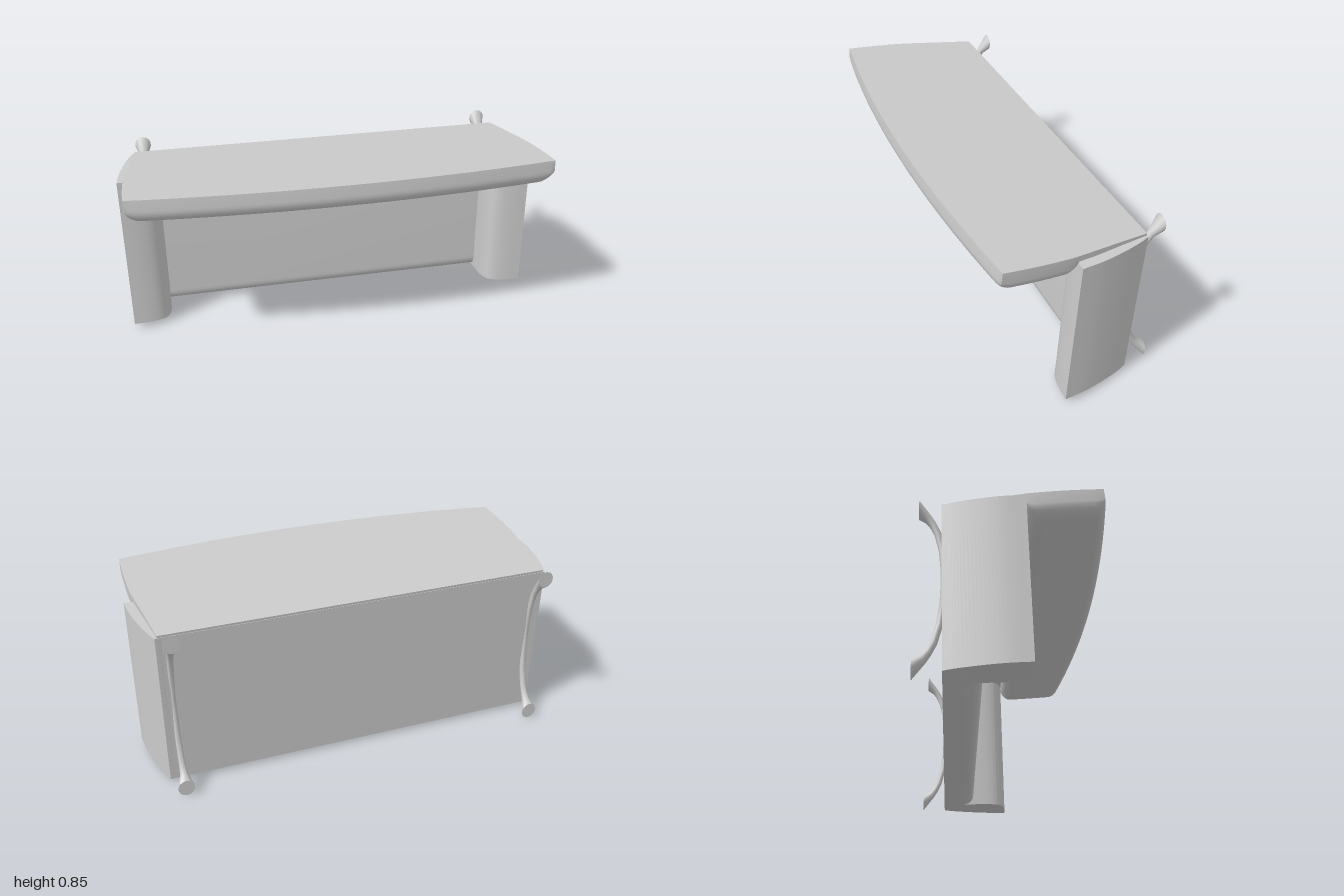
import * as THREE from 'three';
import { toCreasedNormals } from 'three/addons/utils/BufferGeometryUtils.js';

const material = new THREE.MeshStandardMaterial({ color: 0xcccccc });

function part(name, geometry, crease = 0.6) {
  const mesh = new THREE.Mesh(toCreasedNormals(geometry, crease), material);
  mesh.name = name;
  return mesh;
}

// Triangles (a quad grid plus caps) collected as loose corners
function collector() {
  const pos = [];
  const tri = (a, b, c) => pos.push(...a, ...b, ...c);
  return {
    tri,
    quad(a, b, c, d) { tri(a, b, c); tri(a, c, d); },
    geometry() {
      const g = new THREE.BufferGeometry();
      g.setAttribute('position', new THREE.Float32BufferAttribute(pos, 3));
      return g;
    },
  };
}

// Sloping top: thin plate at the back, deep rounded nose in front
function topGeometry() {
  const thin = 0.028, zBack = -0.325, zNose = 0.02;
  const us = [];
  for (let i = -12; i <= 12; i++) us.push((i / 12) * 0.93);
  for (let i = 1; i <= 6; i++) {
    const u = 0.93 + 0.07 * Math.sin((i / 6) * Math.PI / 2);
    us.push(u);
    us.unshift(-u);
  }
  const sideCurve = new THREE.SplineCurve([[-0.325, 0.915], [-0.2, 0.94], [0, 0.965], [0.2, 0.97], [0.42, 0.964]]
    .map(p => new THREE.Vector2(...p)));
  const halfWidth = z => sideCurve.getPoint(THREE.MathUtils.clamp((z - zBack) / 0.745, 0, 1)).y;

  // Underside stations from back to front: [z, depth] for one section
  const section = u => {
    const e = Math.max(0, (Math.abs(u) - 0.93) / 0.07);
    const depth = 0.055 + 0.056 * Math.sqrt(Math.max(0, 1 - e * e));
    const zFront = 0.41 - 0.068 * u * u;
    const r = 0.055;
    const pts = [[zBack, thin], [-0.15, thin], [zNose - 0.01, thin]];
    for (let i = 1; i <= 6; i++) {
      const a = (i / 6) * Math.PI / 2;
      pts.push([zNose - 0.01 + 0.05 * (1 - Math.cos(a)), thin + (depth - thin) * Math.sin(a)]);
    }
    for (let i = 1; i < 4; i++) pts.push([THREE.MathUtils.lerp(0.06, zFront - r, i / 4), depth]);
    for (let i = 0; i <= 7; i++) {
      const a = (i / 7) * Math.PI / 2;
      pts.push([zFront - r + r * Math.sin(a), depth - (depth - 0.05) * (1 - Math.cos(a))]);
    }
    const place = (z, d) => [u * halfWidth(z), 0.812 + 0.105 * z - d, z + 0.105 * d];
    return { top: pts.map(p => place(p[0], 0)), low: pts.map(p => place(p[0], p[1])) };
  };

  const rows = us.map(section), c = collector();
  for (let i = 0; i + 1 < rows.length; i++) {
    const A = rows[i], B = rows[i + 1], n = A.top.length - 1;
    for (let j = 0; j < n; j++) {
      c.quad(A.top[j], A.top[j + 1], B.top[j + 1], B.top[j]);
      c.quad(A.low[j], B.low[j], B.low[j + 1], A.low[j + 1]);
    }
    c.quad(A.top[n], A.low[n], B.low[n], B.top[n]);
    c.quad(A.top[0], B.top[0], B.low[0], A.low[0]);
  }
  const L = rows[0], R = rows[rows.length - 1];
  for (let j = 0; j + 1 < L.top.length; j++) {
    c.quad(L.top[j], L.low[j], L.low[j + 1], L.top[j + 1]);
    c.quad(R.top[j], R.top[j + 1], R.low[j + 1], R.low[j]);
  }
  return c.geometry();
}

// Leaf-shaped side column, extruded upwards
function columnGeometry(side) {
  const p = (x, z) => new THREE.Vector2(side * x, -z);
  const shape = new THREE.Shape();
  shape.moveTo(side * 0.9, 0.3);
  shape.lineTo(side * 0.925, 0.3);
  shape.splineThru([p(0.945, -0.25), p(0.97, -0.16), p(0.99, -0.06), p(1, 0.043)]);
  shape.splineThru([p(0.93, 0.04), p(0.87, 0.028), p(0.835, 0.003), p(0.818, -0.05), p(0.815, -0.15)]);
  shape.lineTo(side * 0.815, 0.29);
  const g = new THREE.ExtrudeGeometry(shape, { depth: 0.752, bevelEnabled: false, curveSegments: 5 });
  return g.rotateX(-Math.PI / 2);
}

// Back panel with a rounded lower front edge
function panelGeometry() {
  const shape = new THREE.Shape();
  shape.moveTo(0.3, 0);
  shape.lineTo(0.3, 0.752);
  shape.lineTo(0.14, 0.752);
  shape.lineTo(0.14, 0.06);
  shape.quadraticCurveTo(0.14, 0, 0.2, 0);
  const g = new THREE.ExtrudeGeometry(shape, { depth: 1.8, bevelEnabled: false, curveSegments: 8 });
  return g.translate(0, 0, -0.9).rotateY(Math.PI / 2);
}

// Bowed rear bar with flared, flat-cut ends
function barGeometry() {
  // [height above the middle, z, radius, section tilt]
  const half = [[0, -0.306, 0.013, 0], [0.08, -0.308, 0.013, 0.06], [0.17, -0.317, 0.014, 0.17],
    [0.25, -0.337, 0.015, 0.45], [0.29, -0.356, 0.016, 0.65], [0.32, -0.376, 0.019, 0.8], [0.367, -0.418, 0.04, Math.PI / 2]];
  const lower = half.slice(1).reverse().map(([y, z, r, a]) => [-y, z, r, -a]);
  const sides = 14, c = collector();
  const rings = [...lower, ...half].map(([y, z, r, a]) => Array.from({ length: sides }, (_, k) => {
    const t = (k / sides) * Math.PI * 2, q = r * Math.cos(t);
    return [r * 0.95 * Math.sin(t), 0.408 + y + q * Math.sin(a), z + q * Math.cos(a)];
  }));
  for (let i = 0; i + 1 < rings.length; i++) {
    for (let k = 0; k < sides; k++) {
      const m = (k + 1) % sides;
      c.quad(rings[i][k], rings[i][m], rings[i + 1][m], rings[i + 1][k]);
    }
  }
  const first = rings[0], last = rings[rings.length - 1];
  for (let k = 1; k + 1 < sides; k++) {
    c.tri(first[0], first[k + 1], first[k]);
    c.tri(last[0], last[k], last[k + 1]);
  }
  return c.geometry();
}

export function createModel() {
  const model = new THREE.Group();
  model.name = 'desk';
  model.add(part('slopingTop', topGeometry()));

  // Columns and panel lean back slightly together
  const base = new THREE.Group();
  base.name = 'base';
  base.position.y = 0.0265;
  base.rotation.x = -0.035;
  base.add(part('backPanel', panelGeometry()));
  model.add(base);

  for (const side of [1, -1]) {
    const label = side > 0 ? 'left' : 'right';
    base.add(part(label + 'Column', columnGeometry(side)));
    const bar = part(label + 'RearBar', barGeometry());
    bar.position.x = side * 0.873;
    model.add(bar);
  }
  return model;
}
